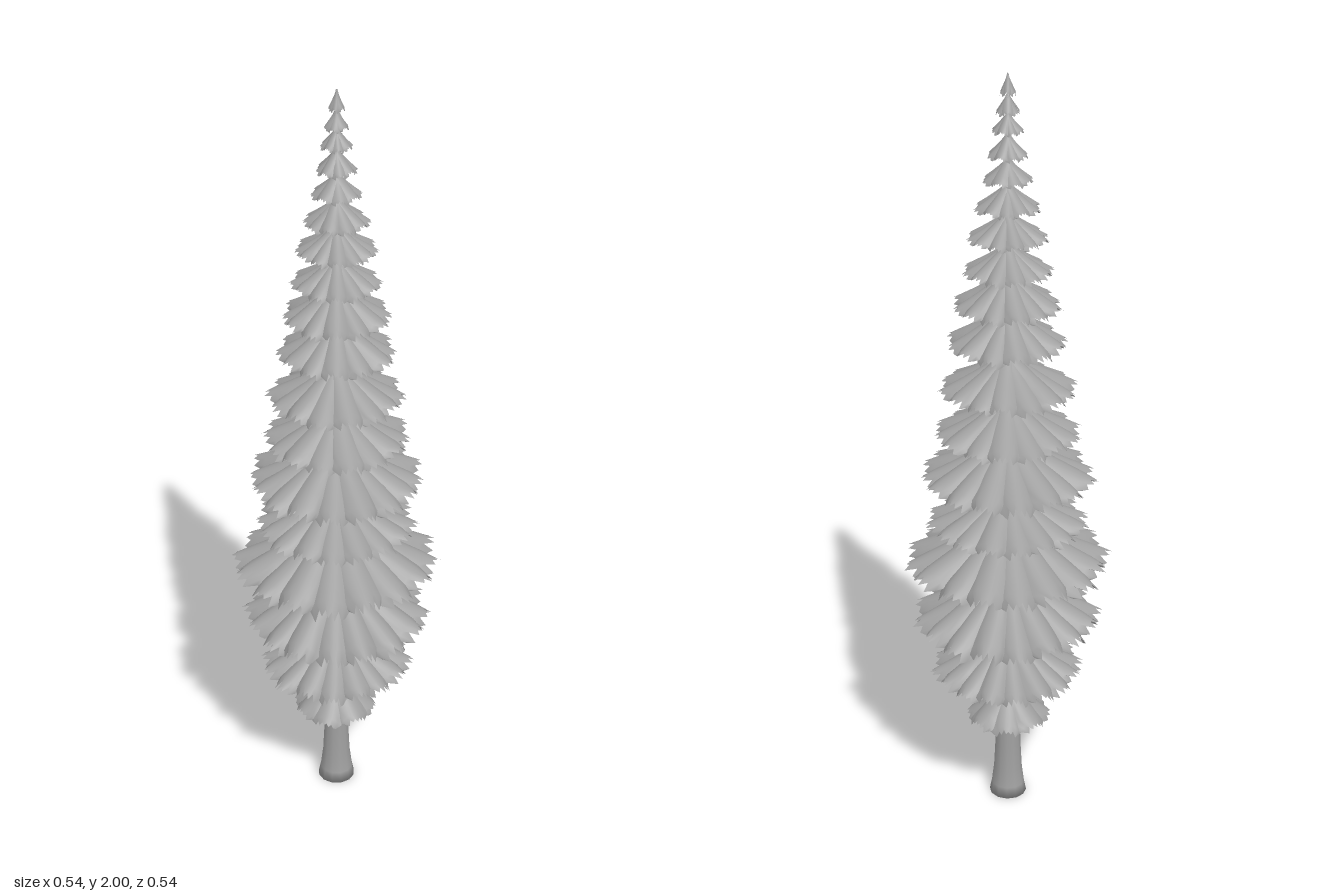
import * as THREE from 'three';

const grey = new THREE.MeshStandardMaterial({ color: 0xa0a0a0, side: THREE.DoubleSide });
grey.name = 'plain grey';

let seed = 7;
const rand = () => (seed = (seed * 16807) % 2147483647) / 2147483647;

// Branch tiers: tip height, tip radius, height at the trunk, branch count
const TIERS = [
  [0.24, 0.115, 0.34, 8], [0.38, 0.205, 0.51, 16], [0.53, 0.25, 0.70, 16],
  [0.70, 0.272, 0.86, 16], [0.82, 0.21, 0.93, 16], [0.95, 0.232, 1.08, 16],
  [1.07, 0.19, 1.18, 14], [1.19, 0.178, 1.30, 14], [1.31, 0.153, 1.42, 12],
  [1.41, 0.138, 1.51, 12], [1.50, 0.113, 1.58, 12], [1.585, 0.102, 1.66, 12],
  [1.66, 0.082, 1.73, 10], [1.73, 0.062, 1.79, 8], [1.79, 0.05, 1.85, 8],
  [1.85, 0.04, 1.90, 8], [1.895, 0.03, 1.945, 6], [1.94, 0.02, 1.99, 6],
];

const trunkRadius = y => 0.034 * (1 - y / 2.02);

// A drooping, arched frond with a toothed end, pointing along +x
function frondGeometry(tip, reach, top, width) {
  const rows = [0, 0.2, 0.42, 0.64, 0.82, 1];
  const spread = [0.2, 0.45, 0.72, 0.95, 1, 0.72];
  const teeth = [0.86, 0.95, 0.89, 0.99, 0.93, 1, 0.92, 0.98, 0.87, 0.94, 0.84];
  const cols = teeth.length, pos = [], index = [];
  const start = trunkRadius(top) * 0.6;
  const arch = (top - tip) * 0.24;
  rows.forEach((t, i) => {
    for (let j = 0; j < cols; j++) {
      const u = j / (cols - 1) * 2 - 1;
      const last = i === rows.length - 1;
      const end = last ? teeth[j] + (rand() - 0.5) * 0.05 : t * (1 - 0.05 * u * u);
      const drop = Math.pow(end, 0.85) * (top - tip - arch * 0.5);
      pos.push(
        start + (reach - start) * end,
        top - drop - arch * u * u * Math.min(1, t * 1.5),
        u * width * spread[i] * (last ? 1 : 1 + (rand() - 0.5) * 0.12));
    }
  });
  for (let i = 0; i < rows.length - 1; i++)
    for (let j = 0; j < cols - 1; j++) {
      const a = i * cols + j, b = a + cols;
      index.push(a, a + 1, b, b, a + 1, b + 1);
    }
  const g = new THREE.BufferGeometry();
  g.setAttribute('position', new THREE.Float32BufferAttribute(pos, 3));
  g.setIndex(index);
  g.computeVertexNormals();
  return g;
}

export function createModel() {
  const tree = new THREE.Group();
  tree.name = 'conifer';

  // Tapered trunk with a flared foot
  const profile = [[0, 0], [0.05, 0], [0.044, 0.03], [0.038, 0.08], [0.034, 0.16],
    [0.031, 0.3], [0.026, 0.6], [0.019, 1], [0.01, 1.5], [0.004, 1.85], [0, 2]];
  const trunk = new THREE.Mesh(
    new THREE.LatheGeometry(profile.map(p => new THREE.Vector2(...p)), 12), grey);
  trunk.name = 'trunk';
  tree.add(trunk);

  // Rings of fronds; alternate fronds sit slightly higher
  TIERS.forEach(([tip, reach, top, count], k) => {
    const tier = new THREE.Group();
    tier.name = 'branchTier' + (k + 1);
    const width = reach * Math.sin(Math.PI / count) * (count > 12 ? 1.05 : 0.95);
    for (let n = 0; n < count; n++) {
      const lift = n % 2 ? 0.05 * (top - tip) : 0;
      const length = reach * (0.96 + rand() * 0.06);
      const frond = new THREE.Mesh(
        frondGeometry(tip + lift, length, top + lift * 0.5, width), grey);
      frond.name = 'frond';
      const offset = k === 0 ? 0 : 0.5;
      frond.rotation.y = (n + offset + (rand() - 0.5) * 0.12) / count * Math.PI * 2;
      tier.add(frond);
    }
    tree.add(tier);
  });

  return tree;
}
